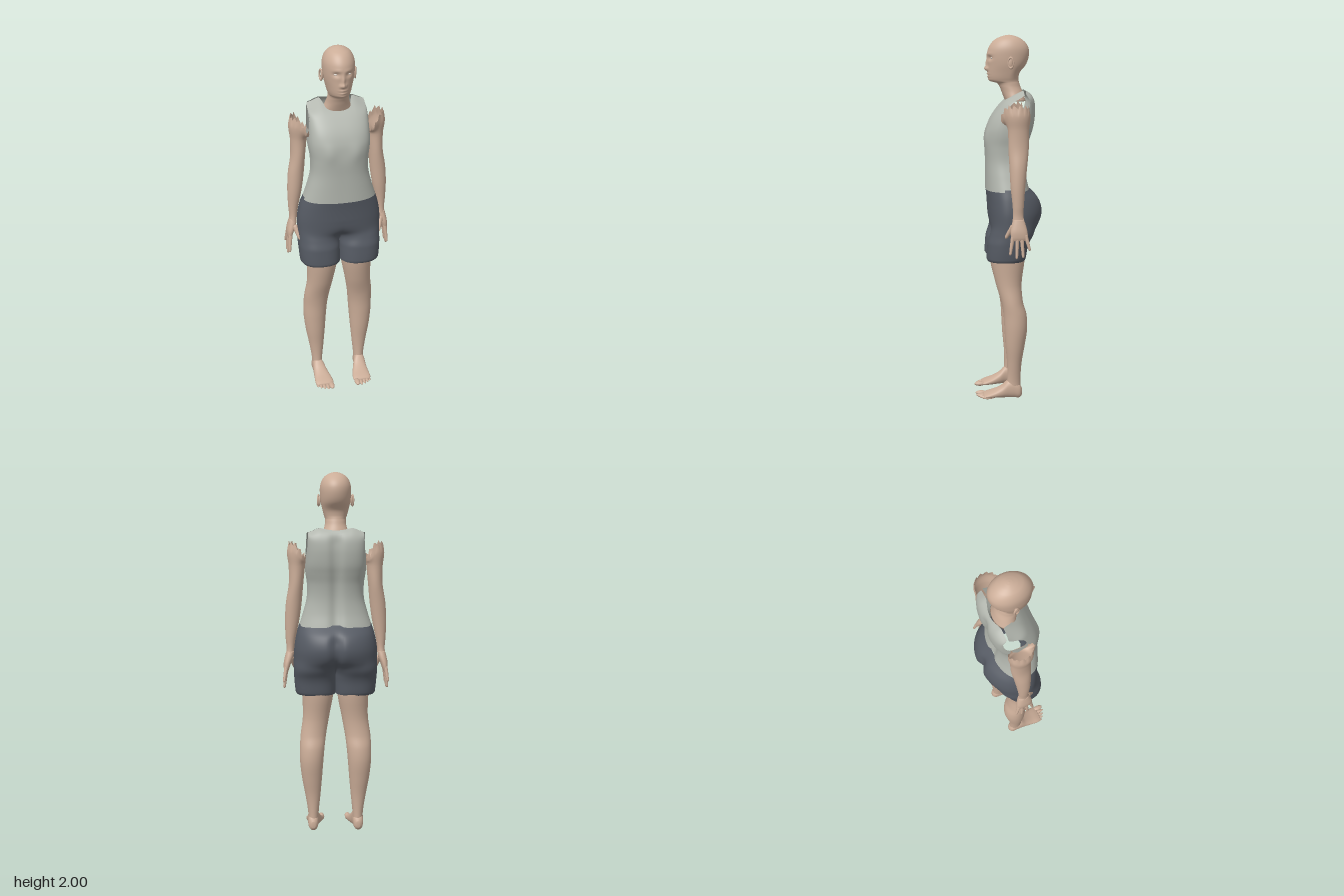
import * as THREE from 'three';
import { mergeGeometries } from 'three/addons/utils/BufferGeometryUtils.js';

const mat = (name, color, side = THREE.FrontSide) => {
  const m = new THREE.MeshStandardMaterial({ color, side });
  m.name = name;
  return m;
};

// Smooth interpolation of key rows by their first column
function at(keys, y) {
  const last = keys.length - 1;
  let i = 0;
  while (i < last - 1 && y > keys[i + 1][0]) i++;
  const a = keys[i], b = keys[i + 1], h = b[0] - a[0], t = (y - a[0]) / h;
  const slope = (k, c) => {
    const p = keys[Math.max(k - 1, 0)], q = keys[Math.min(k + 1, last)];
    return (q[c] - p[c]) / (q[0] - p[0]);
  };
  const t2 = t * t, t3 = t2 * t;
  return a.map((_, c) => (2 * t3 - 3 * t2 + 1) * a[c] + (t3 - 2 * t2 + t) * h * slope(i, c)
    + (3 * t2 - 2 * t3) * b[c] + (t3 - t2) * h * slope(i + 1, c));
}

// Closed rings stacked upwards; fn(i, j) gives a point of row i at step j
function rings(rows, segs, fn, cap) {
  const pos = [], idx = [];
  for (let i = 0; i <= rows; i++) for (let j = 0; j < segs; j++) pos.push(...fn(i, j));
  for (let i = 0; i < rows; i++) for (let j = 0; j < segs; j++) {
    const k = (j + 1) % segs, a = i * segs + j, b = i * segs + k;
    idx.push(a, a + segs, b, b, a + segs, b + segs);
  }
  if (cap) for (const row of [0, rows]) {
    const c = pos.length / 3, mid = [0, 0, 0];
    for (let j = 0; j < segs; j++) for (let d = 0; d < 3; d++) mid[d] += pos[(row * segs + j) * 3 + d] / segs;
    pos.push(...mid);
    for (let j = 0; j < segs; j++) {
      const a = row * segs + j, b = row * segs + (j + 1) % segs;
      idx.push(...(row ? [a, c, b] : [a, b, c]));
    }
  }
  const g = new THREE.BufferGeometry();
  g.setAttribute('position', new THREE.Float32BufferAttribute(pos, 3));
  g.setIndex(idx);
  g.computeVertexNormals();
  return g;
}

const power = (v, n) => Math.sign(v) * Math.abs(v) ** (2 / n);

// Keys: [y, x0, x1, zBack, zFront, zCentre (optional)]
function loft(keys, { segs = 32, sub = 5, n = 2, cap = false, deform = p => p } = {}) {
  return rings((keys.length - 1) * sub, segs, (i, j) => {
    const k = Math.min(Math.floor(i / sub), keys.length - 2), t = i / sub - k;
    const y = keys[k][0] + (keys[k + 1][0] - keys[k][0]) * t;
    const [, x0, x1, zb, zf, zc = (zb + zf) / 2] = at(keys, y);
    const q = j / segs * Math.PI * 2, s = power(Math.sin(q), n);
    return deform([(x0 + x1) / 2 + (x1 - x0) / 2 * power(Math.cos(q), n), y,
      zc + s * (s > 0 ? zf - zc : zc - zb)], j);
  }, cap);
}

// Tapered rounded rod from a to b
function rod(a, b, r0, r1) {
  const A = new THREE.Vector3(...a), B = new THREE.Vector3(...b), d = B.clone().sub(A), len = d.length();
  const g = new THREE.CapsuleGeometry(r0, len - r1, 6, 12), p = g.attributes.position;
  for (let i = 0; i < p.count; i++) {
    const f = 1 + (r1 / r0 - 1) * THREE.MathUtils.clamp(p.getY(i) / len + 0.5, 0, 1);
    p.setX(i, p.getX(i) * f);
    p.setZ(i, p.getZ(i) * f);
  }
  g.computeVertexNormals();
  g.applyQuaternion(new THREE.Quaternion().setFromUnitVectors(new THREE.Vector3(0, 1, 0), d.normalize()));
  return g.translate(...A.add(B).multiplyScalar(0.5).toArray());
}

const ball = (x, y, z, sx, sy, sz) => new THREE.SphereGeometry(1, 20, 14).scale(sx, sy, sz).translate(x, y, z);

function mirror(geo) {
  const g = geo.clone().scale(-1, 1, 1), ix = g.index.array;
  for (let i = 0; i < ix.length; i += 3) [ix[i], ix[i + 1]] = [ix[i + 1], ix[i]];
  return g;
}

export function createModel() {
  const model = new THREE.Group();
  const skin = mat('skin', 0xcbad98), openSkin = mat('open skin', 0xcbad98, THREE.DoubleSide);
  const grey = mat('shirt grey', 0xb2b6ae, THREE.DoubleSide);
  const slate = mat('shorts slate', 0x555a63, THREE.DoubleSide);
  const eyeWhite = mat('eye white', 0xd9d2ca);
  const add = (name, geo, m) => {
    const mesh = new THREE.Mesh(geo, m);
    mesh.name = name;
    model.add(mesh);
  };
  const pair = (name, geo, m) => {
    add('left' + name, geo, m);
    add('right' + name, mirror(geo), m);
  };
  const smooth = THREE.MathUtils.smoothstep;

  // Head and neck; features are soft bumps [x, y, width, height, depth]
  const features = [[0, 1.819, 0.011, 0.011, 0.017], [0, 1.843, 0.009, 0.024, 0.011], [0.014, 1.817, 0.007, 0.007, 0.007],
    [0.033, 1.876, 0.018, 0.012, -0.012], [0.03, 1.897, 0.024, 0.007, 0.003], [0, 1.791, 0.018, 0.005, 0.007],
    [0, 1.777, 0.016, 0.005, 0.006], [0, 1.784, 0.022, 0.0025, -0.004], [0, 1.759, 0.018, 0.01, 0.004]];
  const headKeys = [[1.645, 0.085, -0.1, 0.012, -0.04], [1.69, 0.066, -0.085, 0.03, -0.03], [1.72, 0.058, -0.072, 0.042, -0.015],
    [1.742, 0.056, -0.065, 0.058, -0.01], [1.752, 0.057, -0.062, 0.092, -0.005], [1.77, 0.063, -0.06, 0.103, -0.005],
    [1.8, 0.071, -0.068, 0.107, -0.01], [1.84, 0.08, -0.1, 0.108, -0.01], [1.88, 0.084, -0.115, 0.112, -0.01],
    [1.92, 0.084, -0.117, 0.107, -0.01], [1.95, 0.076, -0.105, 0.092, -0.01], [1.975, 0.06, -0.08, 0.068, -0.01],
    [1.99, 0.038, -0.052, 0.038, -0.01], [1.998, 0.016, -0.025, 0.01, -0.01], [2, 0.002, -0.01, -0.006, -0.008]]
    .map(([y, w, ...z]) => [y, -w, w, ...z]);
  add('headAndNeck', loft(headKeys, {
    segs: 112, sub: 6, cap: true, deform: ([x, y, z]) => {
      if (z > 0.03) for (const [fx, fy, w, h, d] of features)
        z += d * Math.exp(-(((Math.abs(x) - fx) / w) ** 2) - ((y - fy) / h) ** 2);
      return [x, y, z];
    },
  }), skin);
  pair('Eye', ball(0.033, 1.876, 0.084, 0.013, 0.0065, 0.0095), eyeWhite);
  const rim = new THREE.TorusGeometry(0.02, 0.005, 8, 24).scale(0.75, 1.35, 1).rotateY(Math.PI / 2 - 0.3).translate(0.092, 1.85, -0.012);
  pair('Ear', mergeGeometries([rim, ball(0.086, 1.848, -0.01, 0.007, 0.026, 0.014)]), skin);

  // Sleeveless shirt: each column rises to the armhole, shoulder or neckline
  const shirtKeys = [[1.165, 0.202, -0.118, 0.122, 2.3], [1.24, 0.178, -0.102, 0.122, 2.4], [1.32, 0.158, -0.098, 0.123, 2.5],
    [1.4, 0.157, -0.108, 0.126, 2.6], [1.46, 0.165, -0.125, 0.122, 2.8], [1.5, 0.167, -0.137, 0.115, 3],
    [1.55, 0.165, -0.145, 0.096, 3.2], [1.6, 0.165, -0.148, 0.064, 3.2], [1.65, 0.165, -0.142, 0.018, 3.2],
    [1.685, 0.166, -0.122, -0.04, 3.2], [1.705, 0.166, -0.092, -0.08, 3.2]];
  const frontTop = [[0, 1.55], [0.1, 1.565], [0.18, 1.6], [0.27, 1.705], [0.75, 1.705], [0.86, 1.672], [1, 1.655]];
  const backTop = [[0, 1.55], [0.18, 1.565], [0.28, 1.6], [0.36, 1.705], [0.75, 1.705], [1, 1.692]];
  add('shirt', rings(48, 160, (i, j) => {
    const q = j / 160 * Math.PI * 2, c = Math.cos(q), s = Math.sin(q);
    const a = Math.asin(Math.min(1, Math.abs(s))) / (Math.PI / 2);
    const top = Math.min(1.705, at(s > 0 ? frontTop : backTop, a)[1]);
    const y = 1.165 + (top - 1.165) * i / 48, [, w, zb, zf, n] = at(shirtKeys, y);
    const x = w * power(c, n);
    let z = (zb + zf) / 2 + (zf - zb) / 2 * power(s, n);
    if (s < 0) z += 0.016 * Math.exp(-((x / 0.03) ** 2)) * -s * (1 - smooth(y, 1.62, 1.7));
    else z += 0.008 * s * Math.exp(-(((Math.abs(x) - 0.075) / 0.04) ** 2) - ((y - 1.45) / 0.05) ** 2);
    return [x, y - 0.025 * smooth(Math.abs(x), 0.08, 0.165) * smooth(y, 1.62, 1.705), z];
  }), grey);

  // Shorts: one waist ring that splits into two leg rings; last column is the split
  const shortsKeys = [[0.783, 0.216, 0.117, -0.085, 1], [0.792, 0.222, 0.122, -0.091, 1], [0.88, 0.23, 0.117, -0.11, 1],
    [0.93, 0.232, 0.113, -0.15, 0.6], [0.98, 0.232, 0.11, -0.178, 0.12], [1.05, 0.23, 0.112, -0.19, 0],
    [1.12, 0.217, 0.116, -0.167, 0], [1.178, 0.199, 0.122, -0.106, 0]];
  add('shorts', rings(48, 112, (i, j) => {
    const y = 0.783 + 0.395 * i / 48, [, w, zf, zb, s] = at(shortsKeys, y);
    const split = THREE.MathUtils.clamp(s, 0, 1), u = j / 56, side = u <= 1 ? -1 : 1, t = u <= 1 ? u : 2 - u;
    const c = power(Math.cos(Math.PI * t), 2.2), a = 2 * Math.PI * t;
    const hx = w * power(Math.sin(Math.PI * t), 2.2);
    let hz = c * (c > 0 ? zf : -zb);
    if (c < 0) hz += 0.024 * Math.exp(-((hx / 0.03) ** 2)) * smooth(-y, -1.17, -1.08);
    const lx = w / 2 * (1 - power(Math.cos(a), 2.3)), lz = (zf + zb) / 2 + (zf - zb) / 2 * power(Math.sin(a), 2.3);
    return [side * (hx + (lx - hx) * split), y, hz + (lz - hz) * split];
  }), slate);

  // Legs
  pair('Leg', loft([[0.03, 0.098, 0.155, -0.064, 0.02], [0.1, 0.096, 0.156, -0.064, 0.01], [0.2, 0.086, 0.171, -0.07, 0.011],
    [0.3, 0.077, 0.189, -0.086, 0.02], [0.4, 0.069, 0.2, -0.1, 0.026], [0.48, 0.062, 0.2, -0.096, 0.031],
    [0.55, 0.053, 0.196, -0.077, 0.043], [0.65, 0.035, 0.183, -0.071, 0.072], [0.78, 0.011, 0.186, -0.088, 0.1],
    [0.87, 0.008, 0.19, -0.09, 0.105]]), skin);

  // Feet, lofted from heel to toes
  const foot = [loft([[-0.073, 0.115, 0.138, -0.05, -0.015], [-0.06, 0.102, 0.153, -0.075, 0], [-0.03, 0.096, 0.157, -0.1, 0],
    [0.005, 0.09, 0.158, -0.1, 0], [0.04, 0.078, 0.16, -0.068, 0], [0.08, 0.066, 0.163, -0.045, 0],
    [0.12, 0.06, 0.165, -0.03, 0], [0.142, 0.066, 0.156, -0.02, -0.004]], { n: 2.3, cap: true }).rotateX(Math.PI / 2)];
  foot.forEach(g => g.setAttribute('uv', new THREE.Float32BufferAttribute(new Float32Array(g.attributes.position.count * 2), 2)));
  [[0.077, 0.186, 0.016], [0.1, 0.184, 0.01], [0.12, 0.175, 0.01], [0.138, 0.165, 0.01], [0.154, 0.151, 0.009]]
    .forEach(([x, tip, r]) => foot.push(ball(x, r * 0.8, tip - 0.032, r, r * 0.8, 0.032)));
  pair('Foot', mergeGeometries(foot), skin);

  // Arms with a ragged open shoulder edge that slants down to the armpit
  pair('Arm', loft([[1.01, 0.231, 0.274, -0.074, -0.008], [1.05, 0.228, 0.271, -0.068, -0.012], [1.1, 0.221, 0.275, -0.07, -0.01],
    [1.2, 0.2, 0.278, -0.078, 0], [1.3, 0.186, 0.272, -0.088, 0.005], [1.4, 0.177, 0.256, -0.098, 0.01],
    [1.5, 0.167, 0.256, -0.1, 0.012], [1.57, 0.163, 0.264, -0.105, 0.022], [1.62, 0.16, 0.254, -0.1, 0.022]], {
    segs: 48, deform: ([x, y, z], j) => {
      const k = smooth(y, 1.49, 1.62), inner = 1 - smooth(x, 0.165, 0.235);
      return [x, y - 0.07 * k * inner + 0.022 * k ** 5 * ((j % 4) / 3 - 0.4), z + (z > -0.04 ? 0.04 : -0.012) * k * inner];
    },
  }), openSkin);

  // Hands
  pair('Palm', loft([[0.918, 0.262, 0.283, -0.084, -0.004], [0.935, 0.256, 0.287, -0.09, 0], [0.965, 0.246, 0.287, -0.088, 0.002],
    [1, 0.234, 0.28, -0.08, -0.004], [1.03, 0.23, 0.272, -0.07, -0.012]], { n: 2.3, cap: true }), skin);
  const fingers = [[[0.271, 0.94, -0.011], [0.279, 0.848, 0.004]], [[0.272, 0.94, -0.034], [0.283, 0.828, -0.03]],
    [[0.272, 0.94, -0.057], [0.284, 0.834, -0.064]], [[0.273, 0.945, -0.078], [0.285, 0.872, -0.098]]]
    .map(([a, b]) => rod(a, b, 0.0115, 0.007));
  fingers.push(rod([0.245, 0.99, -0.012], [0.226, 0.93, 0.022], 0.015, 0.009));
  pair('Fingers', mergeGeometries(fingers), skin);

  return model;
}
